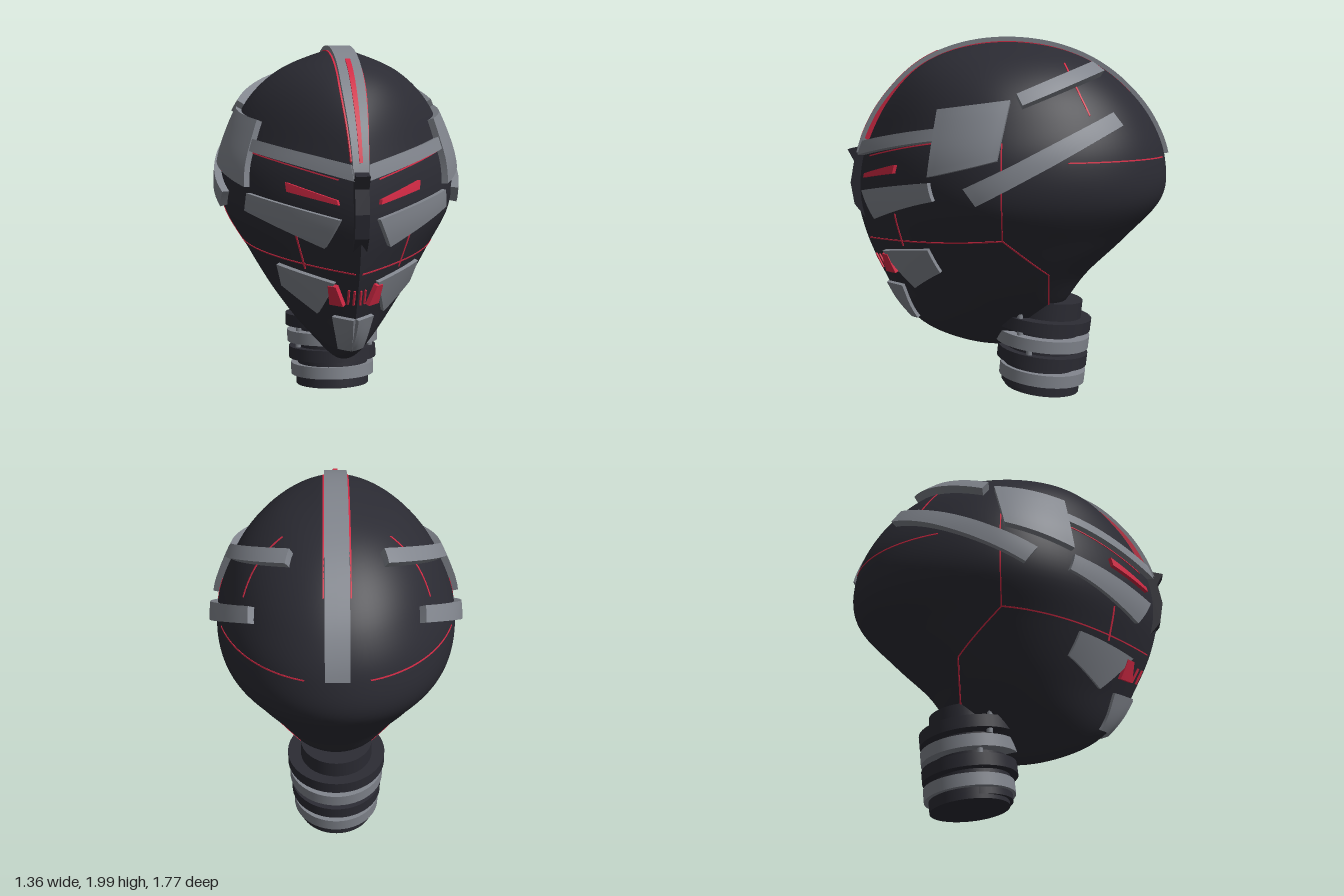
import * as THREE from 'three';
import { toCreasedNormals } from 'three/addons/utils/BufferGeometryUtils.js';

const { lerp, clamp, smoothstep, degToRad } = THREE.MathUtils;
const V = (x, y, z) => new THREE.Vector3(x, y, z);
const MID = 1.13, RAD = 0.85;

// Head profile at every 15 degrees from crown to chin
const ZF = [0, 0.24, 0.45, 0.61, 0.74, 0.82, 0.84, 0.79, 0.70, 0.60, 0.46, 0.25, 0.04];
const ZB = [0, -0.25, -0.47, -0.65, -0.79, -0.868, -0.855, -0.66, -0.45, -0.32, -0.17, -0.06, 0.04];
const ZC = [0, -0.01, -0.02, -0.03, -0.03, -0.03, -0.03, -0.02, 0, 0.02, 0.04, 0.04, 0.04];
const W = [0, 0.13, 0.32, 0.47, 0.57, 0.635, 0.625, 0.505, 0.385, 0.26, 0.14, 0.06, 0];

// Smooth cubic reading of one profile column
function read(t, phi) {
  const f = clamp(phi / degToRad(15), 0, 12), i = Math.min(Math.floor(f), 11), s = f - i;
  const p1 = t[i], p2 = t[i + 1], p0 = i > 0 ? t[i - 1] : 2 * p1 - p2, p3 = i < 11 ? t[i + 2] : 2 * p2 - p1;
  return p1 + 0.5 * s * (p2 - p0 + s * (2 * p0 - 5 * p1 + 4 * p2 - p3 + s * (3 * (p1 - p2) + p3 - p0)));
}

function section(phi) {
  const y = MID + RAD * Math.cos(phi);
  const q = 0.5 + 0.5 * smoothstep(y, 0.3, 0.65) * (1 - smoothstep(y, 1.45, 1.95));
  return { y, q, zf: read(ZF, phi), zb: read(ZB, phi), zc: read(ZC, phi), w: read(W, phi) };
}
const sectionAt = (y) => section(Math.acos(clamp((y - MID) / RAD, -1, 1)));

// Point on the head; a runs from the wedge-shaped face (0) to the back (PI)
function around(s, a, side) {
  const sn = Math.max(Math.sin(a), 0), c = Math.cos(a);
  const x = s.w * (c > 0 ? Math.pow(sn, 2 * s.q) : sn);
  return V(side * x, s.y, s.zc + c * (c > 0 ? s.zf - s.zc : s.zc - s.zb));
}
// Place a point on the head from its front (x, y) or side (z, y) position
function fromFront(x, y, side) {
  const s = sectionAt(y);
  return around(s, Math.asin(Math.pow(clamp(x / s.w, 0, 1), 0.5 / s.q)), side);
}
function fromSide(z, y, side) {
  const s = sectionAt(y), d = z - s.zc;
  return around(s, Math.acos(clamp(d / (d > 0 ? s.zf - s.zc : s.zc - s.zb), -1, 1)), side);
}

// Closed plate that follows surface fn(u, v), from offset lo to offset hi
function plateGeometry(fn, nu, nv, lo, hi) {
  const top = [], bottom = [], index = [], e = 0.01, centre = V(0, 1.1, 0);
  const id = (i, j) => i * (nv + 1) + j;
  let flip = false;
  for (let i = 0; i <= nu; i++) for (let j = 0; j <= nv; j++) {
    const u = i / nu, v = j / nv, p = fn(u, v);
    const cl = (t) => clamp(t, 0, 1);
    const n = fn(cl(u + e), v).sub(fn(cl(u - e), v)).cross(fn(u, cl(v + e)).sub(fn(u, cl(v - e)))).normalize();
    if (n.dot(p.clone().sub(centre)) < 0) { n.negate(); flip = true; }
    top.push(...p.clone().addScaledVector(n, hi).toArray());
    bottom.push(...p.clone().addScaledVector(n, lo).toArray());
  }
  const N = (nu + 1) * (nv + 1);
  const quad = (a, b, c, d) => index.push(...(flip ? [a, c, b, a, d, c] : [a, b, c, a, c, d]));
  for (let i = 0; i < nu; i++) for (let j = 0; j < nv; j++) {
    const a = id(i, j), b = id(i + 1, j), c = id(i + 1, j + 1), d = id(i, j + 1);
    quad(a, b, c, d);
    quad(N + a, N + d, N + c, N + b);
  }
  const loop = [];
  for (let i = 0; i < nu; i++) loop.push(id(i, 0));
  for (let j = 0; j < nv; j++) loop.push(id(nu, j));
  for (let i = nu; i > 0; i--) loop.push(id(i, nv));
  for (let j = nv; j > 0; j--) loop.push(id(0, j));
  loop.forEach((a, k) => {
    const b = loop[(k + 1) % loop.length];
    quad(N + a, N + b, b, a);
  });
  const g = new THREE.BufferGeometry();
  g.setAttribute('position', new THREE.Float32BufferAttribute([...top, ...bottom], 3));
  g.setIndex(index);
  return toCreasedNormals(g, 0.6);
}

export function createModel() {
  const model = new THREE.Group();
  const material = (name, color) => Object.assign(new THREE.MeshStandardMaterial({ color }), { name });
  const dark = material('charcoal', 0x2b2b33), grey = material('steel grey', 0x80848c), red = material('red', 0xd42a45);
  const add = (name, geometry, mat) => {
    const m = new THREE.Mesh(geometry, mat);
    m.name = name;
    model.add(m);
    return m;
  };

  // Head shell
  const NP = 80, NA = 112, pos = [], idx = [];
  for (let i = 0; i <= NP; i++) for (let j = 0; j <= NA; j++) {
    const a = (j / NA) * 2 * Math.PI - Math.PI;
    pos.push(...around(section((i / NP) * Math.PI), Math.abs(a), a < 0 ? -1 : 1).toArray());
    if (i < NP && j < NA) {
      const p = i * (NA + 1) + j, r = p + NA + 1;
      idx.push(p, r, r + 1, p, r + 1, p + 1);
    }
  }
  const shell = new THREE.BufferGeometry();
  shell.setAttribute('position', new THREE.Float32BufferAttribute(pos, 3));
  shell.setIndex(idx);
  add('headShell', toCreasedNormals(shell, 0.7), dark);

  // Mirrored four-cornered plates laid on the head
  const plates = (name, map, corners, mat, hi, nu = 14, nv = 5, lo = -0.015) => {
    const [A, B, C, D] = corners;
    const mix = (k, u, v) => lerp(lerp(A[k], B[k], u), lerp(D[k], C[k], u), v);
    for (const side of [1, -1])
      add((side > 0 ? 'left ' : 'right ') + name,
        plateGeometry((u, v) => map(mix(0, u, v), mix(1, u, v), side), nu, nv, lo, hi), mat);
  };
  plates('brow', fromFront, [[0.02, 1.35], [0.53, 1.465], [0.53, 1.53], [0.03, 1.425]], grey, 0.03);
  plates('templePlate', fromSide, [[0.365, 1.28], [0.02, 1.37], [-0.04, 1.655], [0.32, 1.61]], grey, 0.035, 10, 10);
  plates('upperSideBar', fromSide, [[-0.10, 1.625], [-0.50, 1.785], [-0.44, 1.83], [-0.07, 1.68]], grey, 0.045, 18);
  plates('lowerSideBar', fromSide, [[0.12, 1.155], [-0.59, 1.525], [-0.54, 1.59], [0.18, 1.235]], grey, 0.04, 20);
  plates('cheekPlate', fromFront, [[0.15, 1.02], [0.515, 1.16], [0.505, 1.25], [0.085, 1.165]], grey, 0.025);
  plates('jawPlate', fromFront, [[0.16, 0.64], [0.33, 0.76], [0.36, 0.885], [0.10, 0.835]], grey, 0.02, 8, 8);
  plates('chinPlate', fromFront, [[0, 0.45], [0.055, 0.45], [0.095, 0.64], [0, 0.64]], grey, 0.02, 6, 8);
  plates('eye', fromFront, [[0.095, 1.235], [0.325, 1.28], [0.33, 1.325], [0.10, 1.258]], red, 0.02, 10, 3);
  plates('fang', fromFront, [[0.05, 0.715], [0.11, 0.715], [0.125, 0.82], [0.09, 0.82]], red, 0.025, 4, 4);
  for (const x of [0.01, 0.035])
    plates('tooth', fromFront, [[x, 0.72], [x + 0.008, 0.72], [x + 0.008, 0.80], [x, 0.80]], red, 0.008, 2, 3);

  // Thin red panel seams
  const seam = (map, a, b) => {
    const d = new THREE.Vector2(a[1] - b[1], b[0] - a[0]).setLength(0.0035);
    plates('seam', map, [[a[0] - d.x, a[1] - d.y], [b[0] - d.x, b[1] - d.y], [b[0] + d.x, b[1] + d.y], [a[0] + d.x, a[1] + d.y]],
      red, 0.003, 24, 1, -0.004);
  };
  seam(fromSide, [0, 1.46], [0, 0.955]);
  seam(fromSide, [0, 0.955], [-0.235, 0.75]);
  seam(fromSide, [-0.235, 0.75], [-0.235, 0.55]);
  seam(fromSide, [-0.33, 1.36], [-0.84, 1.36]);
  seam(fromSide, [-0.31, 1.855], [-0.44, 1.59]);
  seam(fromSide, [0, 0.955], [0.77, 0.89]);
  seam(fromFront, [0.29, 1.06], [0.24, 0.88]);
  seam(fromFront, [0.10, 1.355], [0.50, 1.455]);

  // Crest strip over the crown, with its red inlay and edge lines
  const strip = (x0, x1, from, to) => (u, v) => {
    const deg = lerp(from, to, u), s = section(degToRad(Math.abs(deg)));
    const taper = 1 - 0.35 * smoothstep(deg, 35, 73);
    return V(lerp(x0, x1, v) * taper, s.y, deg > 0 ? s.zf : s.zb);
  };
  add('crest', plateGeometry(strip(-0.06, 0.06, 74, -73.5), 64, 2, -0.08, 0.02), grey);
  add('crestInlay', plateGeometry(strip(-0.013, 0.013, 69, 24), 24, 1, 0, 0.026), red);
  for (const s of [-1, 1])
    add('crestEdgeLine', plateGeometry(strip(s * 0.058, s * 0.069, 68, -47), 48, 1, -0.07, -0.004), red);

  // Nose ridge
  const outline = [[0.78, 1.41], [0.885, 1.385], [0.85, 1.32], [0.872, 1.2], [0.852, 1.08], [0.78, 0.99]];
  const nose = new THREE.ExtrudeGeometry(new THREE.Shape(outline.map(([z, y]) => new THREE.Vector2(z, y))),
    { depth: 0.07, bevelEnabled: false });
  nose.translate(0, 0, -0.035).rotateY(-Math.PI / 2);
  add('nose', nose, dark);

  // Neck core with tilted rings
  const disc = (name, r0, r1, h, y, mat) => {
    const m = add(name, new THREE.CylinderGeometry(r1, r0, h, 48), mat);
    m.position.set(0, y, -0.2);
    m.rotation.x = -0.112;
  };
  disc('neckCore', 0.205, 0.2, 0.5, 0.31, dark);
  disc('neckBase', 0.212, 0.212, 0.07, 0.071, dark);
  [[0.43, 0.275, dark], [0.33, 0.265, grey], [0.23, 0.255, dark], [0.13, 0.243, grey]]
    .forEach(([y, r, mat]) => disc('neckRing', r, r, 0.068, y, mat));

  // Small pins between the neck rings
  for (const s of [-1, 1]) for (const [y, z] of [[0.45, -0.08], [0.27, -0.13]]) {
    const pin = add('neckPin', new THREE.CylinderGeometry(0.016, 0.016, 0.13, 12), grey);
    pin.position.set(s * 0.21, y, z);
  }
  return model;
}
